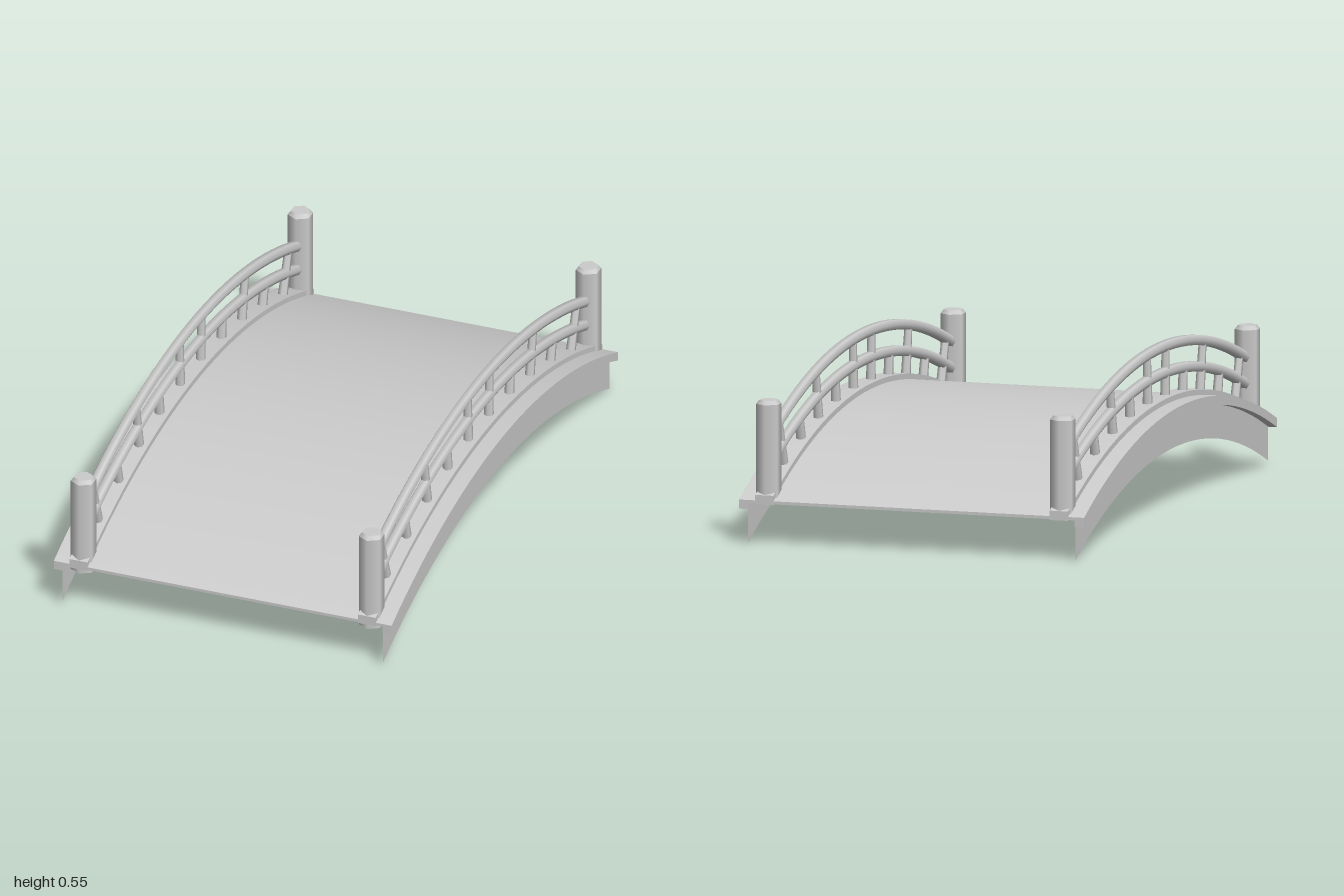
import * as THREE from 'three';
import { toCreasedNormals } from 'three/addons/utils/BufferGeometryUtils.js';

const R = 2.55, APEX_Z = 0.02, DECK_Y = 0.354, RAIL_X = 0.503;

// Height of the deck's top along the bridge
const arcY = (z) => DECK_Y - R + Math.sqrt(R * R - (z - APEX_Z) ** 2);

// Curved band in the (z, y) plane, between two heights relative to the deck
function bandShape(low, high, segments = 32) {
  const points = [];
  for (let i = 0; i <= segments; i++) {
    const z = -1 + (2 * i) / segments;
    points.push(new THREE.Vector2(z, arcY(z) + low));
  }
  for (let i = segments; i >= 0; i--) {
    const z = -1 + (2 * i) / segments;
    points.push(new THREE.Vector2(z, arcY(z) + high));
  }
  return new THREE.Shape(points);
}

// Solid arched beam from x0 to x1
function beam(x0, x1, low, high) {
  const geo = new THREE.ExtrudeGeometry(bandShape(low, high), { depth: x1 - x0, bevelEnabled: false });
  geo.rotateY(-Math.PI / 2).translate(x1, 0, 0);
  return toCreasedNormals(geo, 0.5);
}

export function createModel() {
  const bridge = new THREE.Group();
  bridge.name = 'archedBridge';
  const grey = new THREE.MeshStandardMaterial({ color: 0xcccccc });
  const thin = new THREE.MeshStandardMaterial({ color: 0xcccccc, side: THREE.DoubleSide });

  const add = (parent, name, geometry, material = grey) => {
    const mesh = new THREE.Mesh(geometry, material);
    mesh.name = name;
    parent.add(mesh);
    return mesh;
  };

  add(bridge, 'deck', beam(-0.56, 0.56, -0.01, 0));

  for (const side of [1, -1]) {
    const half = new THREE.Group();
    half.name = side > 0 ? 'leftSide' : 'rightSide';
    bridge.add(half);
    const span = (a, b) => (side > 0 ? [a, b] : [-b, -a]);

    // Edge trim, kerb under the balusters, and thin side panel
    add(half, 'edgeTrim', beam(...span(0.558, 0.59), -0.03, 0));
    add(half, 'kerb', beam(...span(0.472, 0.535), -0.013, 0.018));
    const panel = new THREE.ShapeGeometry(bandShape(-0.142, -0.01));
    panel.rotateY(-Math.PI / 2).translate(side * 0.56, 0, 0);
    add(half, 'sidePanel', panel, thin);

    // Two arched handrails with six-sided section
    for (const [name, lift] of [['upperRail', 0.179], ['lowerRail', 0.092]]) {
      const points = [];
      for (let i = 0; i <= 16; i++) {
        const z = -0.935 + (1.87 * i) / 16;
        points.push(new THREE.Vector3(side * RAIL_X, arcY(z) + lift, z));
      }
      const path = new THREE.CatmullRomCurve3(points);
      add(half, name, new THREE.TubeGeometry(path, 32, 0.019, 6), thin);
    }

    // Balusters stand square to the arch, tall and short in turn
    for (const end of [1, -1]) {
      for (let i = 0; i < 5; i++) {
        const z = APEX_Z - 0.007 + end * (0.09 + 0.18 * i);
        const tall = i % 2 === 0;
        const height = tall ? 0.193 : 0.108;
        const geo = new THREE.CylinderGeometry(tall ? 0.013 : 0.015, 0.017, height, 6);
        geo.translate(0, height / 2 - 0.018, 0);
        const baluster = add(half, tall ? 'tallBaluster' : 'shortBaluster', geo);
        baluster.position.set(side * RAIL_X, arcY(z), z);
        baluster.rotation.x = Math.asin((z - APEX_Z) / R);
      }

      // Six-sided end post with chamfered top
      const post = new THREE.Group();
      post.name = end > 0 ? 'frontPost' : 'backPost';
      post.position.set(side * RAIL_X, 0, end * 0.957);
      half.add(post);
      add(post, 'postShaft', new THREE.CylinderGeometry(0.042, 0.042, 0.327, 6)).position.y = 0.2915;
      add(post, 'postCap', new THREE.CylinderGeometry(0.032, 0.042, 0.013, 6)).position.y = 0.4615;
    }
  }
  return bridge;
}
